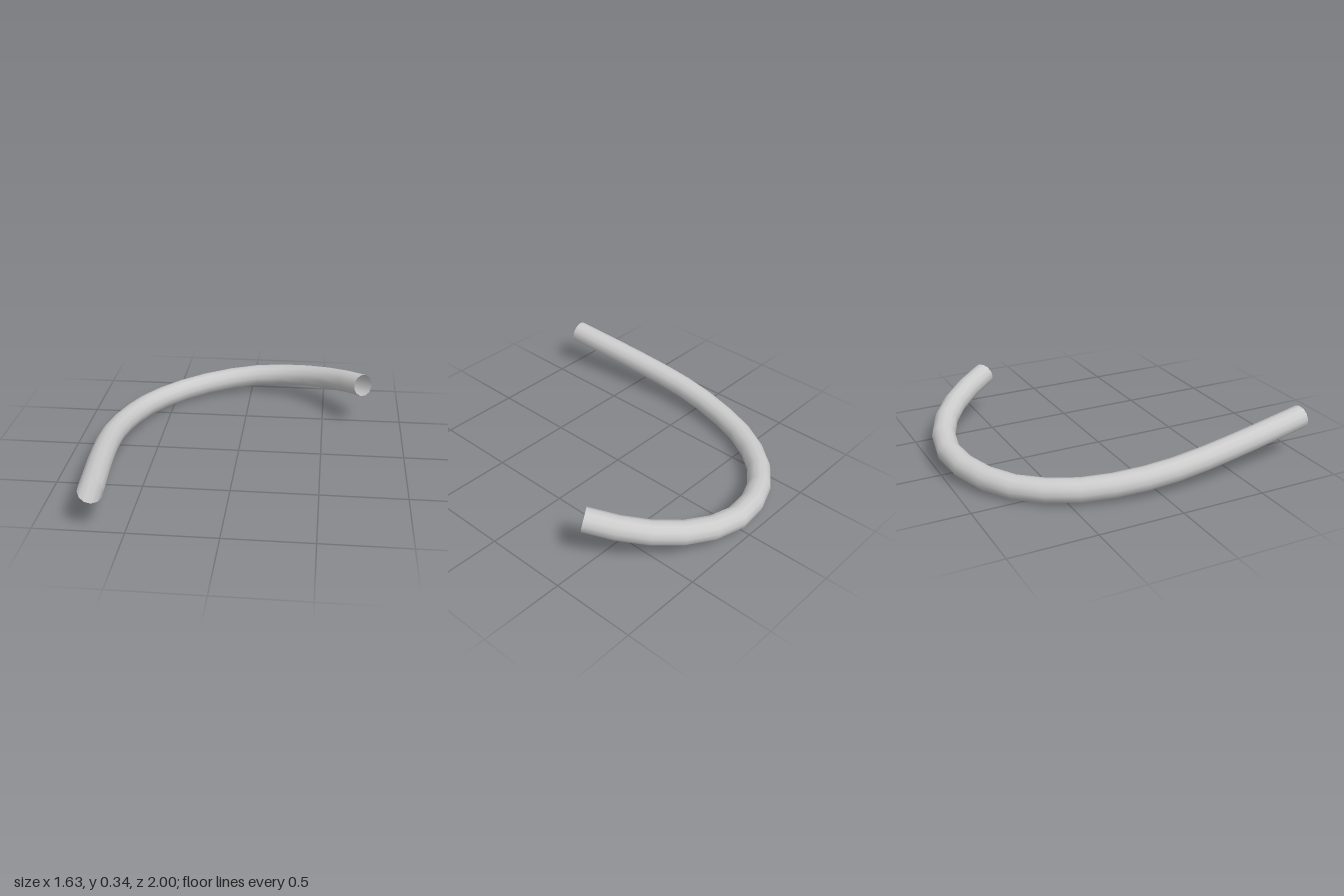
import * as THREE from 'three';

export function createModel() {
  const group = new THREE.Group();
  group.name = 'hookTube';

  // Centre line: long straight leg, rounded back bend, short rising end
  const path = new THREE.CatmullRomCurve3([
    [-0.67, 0.24, 0.988], [-0.735, 0.17, 0.43], [-0.752, 0.128, 0.08],
    [-0.712, 0.095, -0.235], [-0.61, 0.076, -0.52], [-0.41, 0.075, -0.765],
    [-0.18, 0.095, -0.89], [0.03, 0.118, -0.932], [0.26, 0.149, -0.89],
    [0.44, 0.183, -0.795], [0.61, 0.226, -0.645], [0.75, 0.275, -0.452],
  ].map((p) => new THREE.Vector3(...p)));

  // Open-ended hollow tube
  const tube = new THREE.Mesh(
    new THREE.TubeGeometry(path, 18, 0.069, 12, false),
    new THREE.MeshStandardMaterial({ color: 0xcccccc, side: THREE.DoubleSide })
  );
  tube.name = 'bentTube';
  group.add(tube);
  return group;
}
